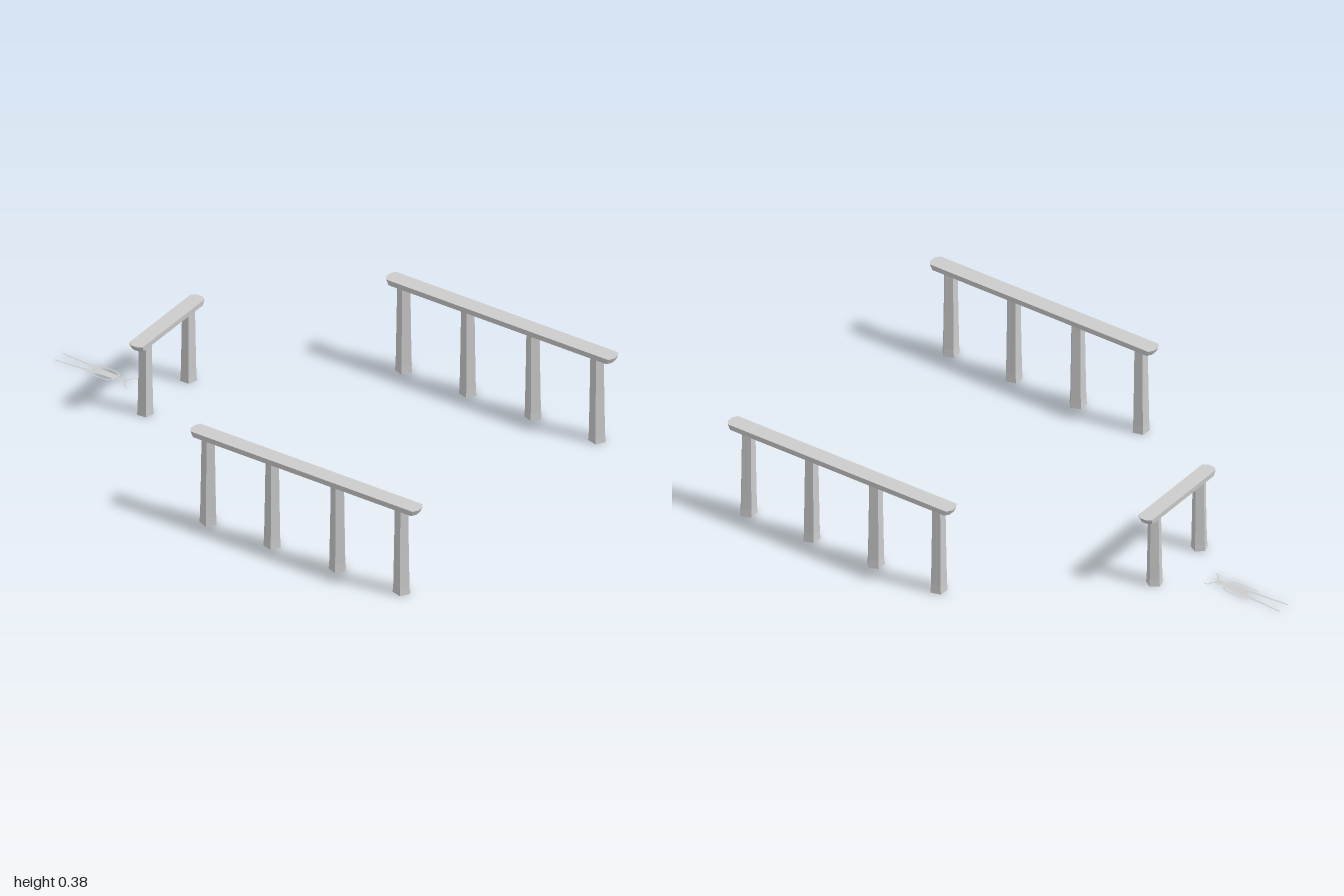
import * as THREE from 'three';

const stone = new THREE.MeshStandardMaterial({ color: 0xcccccc, flatShading: true });
const carving = new THREE.MeshStandardMaterial({ color: 0xcccccc, side: THREE.DoubleSide });

// Five-sided tapering pillar with a flared foot; angle turns one corner away from +z
function pillar(name, x, z, height, radius, angle) {
  const profile = [[0, 0], [1, 0], [0.93, 0.09], [0.85, 0.5], [0.77, 1], [0, 1]]
    .map(([r, y]) => new THREE.Vector2(r * radius, y * height));
  const mesh = new THREE.Mesh(new THREE.LatheGeometry(profile, 5, angle), stone);
  mesh.name = name;
  mesh.position.set(x, 0, z);
  return mesh;
}

// Long slab with blunt pointed ends and an underside slightly smaller than the top
function lintel(name, length, width, height) {
  const l = length / 2, w = width / 2, tip = 0.012;
  const plan = new THREE.Shape([
    [-l, -w * 0.4], [-l + tip, -w], [l - tip, -w], [l, -w * 0.4],
    [l, w * 0.4], [l - tip, w], [-l + tip, w], [-l, w * 0.4],
  ].map(([x, y]) => new THREE.Vector2(x, y)));
  const geo = new THREE.ExtrudeGeometry(plan, { depth: height, bevelEnabled: false });
  geo.rotateX(-Math.PI / 2);
  const p = geo.attributes.position;
  for (let i = 0; i < p.count; i++) {
    if (p.getY(i) < height / 2) {
      p.setX(i, p.getX(i) * (1 - 0.01 / l));
      p.setZ(i, p.getZ(i) * 0.94);
    }
  }
  geo.computeVertexNormals();
  const mesh = new THREE.Mesh(geo, stone);
  mesh.name = name;
  return mesh;
}

// Flat strip on the ground through [x, z] points, its width going from w0 to w1
function strip(name, points, w0, w1) {
  const curve = new THREE.CatmullRomCurve3(points.map(([x, z]) => new THREE.Vector3(x, 0.001, z)));
  const n = points.length > 2 ? 12 : 1, pos = [], idx = [];
  for (let i = 0; i <= n; i++) {
    const t = i / n, c = curve.getPoint(t), d = curve.getTangent(t);
    const h = (w0 + (w1 - w0) * t) / 2;
    pos.push(c.x + d.z * h, c.y, c.z - d.x * h, c.x - d.z * h, c.y, c.z + d.x * h);
    if (i < n) idx.push(2 * i, 2 * i + 1, 2 * i + 2, 2 * i + 1, 2 * i + 3, 2 * i + 2);
  }
  const geo = new THREE.BufferGeometry();
  geo.setAttribute('position', new THREE.Float32BufferAttribute(pos, 3));
  geo.setIndex(idx);
  geo.computeVertexNormals();
  const mesh = new THREE.Mesh(geo, carving);
  mesh.name = name;
  return mesh;
}

export function createModel() {
  const model = new THREE.Group();

  // Two long colonnades, front and back
  for (const side of [1, -1]) {
    const row = new THREE.Group();
    row.name = side > 0 ? 'frontColonnade' : 'backColonnade';
    [0.08, 0.358, 0.642, 0.92].forEach((x, i) => {
      row.add(pillar('pillar' + (i + 1), x, side * 0.625, 0.358, 0.034, Math.PI / 2 + (i % 2 ? 0.05 : -0.05)));
    });
    const slab = lintel('longLintel', 0.99, 0.064, 0.022);
    slab.position.set(0.505, 0.356, side * 0.625);
    slab.rotation.z = -0.003;
    row.add(slab);
    model.add(row);
  }

  // Short gateway set across the axis
  const gate = new THREE.Group();
  gate.name = 'gateway';
  gate.add(
    pillar('gatePillarFront', -0.527, 0.14, 0.298, 0.032, Math.PI + 0.08),
    pillar('gatePillarBack', -0.527, -0.137, 0.298, 0.032, Math.PI),
  );
  const cap = lintel('shortLintel', 0.42, 0.06, 0.022);
  cap.rotation.y = Math.PI / 2;
  cap.position.set(-0.528, 0.295, 0);
  gate.add(cap);
  model.add(gate);

  // Flat horned figure lying on the ground
  const figure = new THREE.Group();
  figure.name = 'groundFigure';
  figure.add(strip('figureBody', [[-0.84, 0], [-0.745, 0]], 0.034, 0.026));
  figure.add(strip('figureNeck', [[-0.745, 0], [-0.725, 0]], 0.008, 0.008));
  const head = new THREE.Mesh(new THREE.CircleGeometry(0.013, 12), carving);
  head.name = 'figureHead';
  head.rotation.x = -Math.PI / 2;
  head.scale.x = 1.5;
  head.position.set(-0.718, 0.001, 0);
  figure.add(head);
  for (const s of [1, -1]) {
    figure.add(
      strip('figureLeg', [[-1, s * 0.026], [-0.83, s * 0.014]], 0.006, 0.012),
      strip('figureArm', [[-0.745, s * 0.014], [-0.76, s * 0.029], [-0.8, s * 0.034], [-0.865, s * 0.03]], 0.006, 0.004),
      strip('figureHorn', [[-0.71, s * 0.006], [-0.695, s * 0.02], [-0.69, s * 0.034], [-0.672, s * 0.036]], 0.008, 0.004),
    );
  }
  model.add(figure);
  return model;
}
